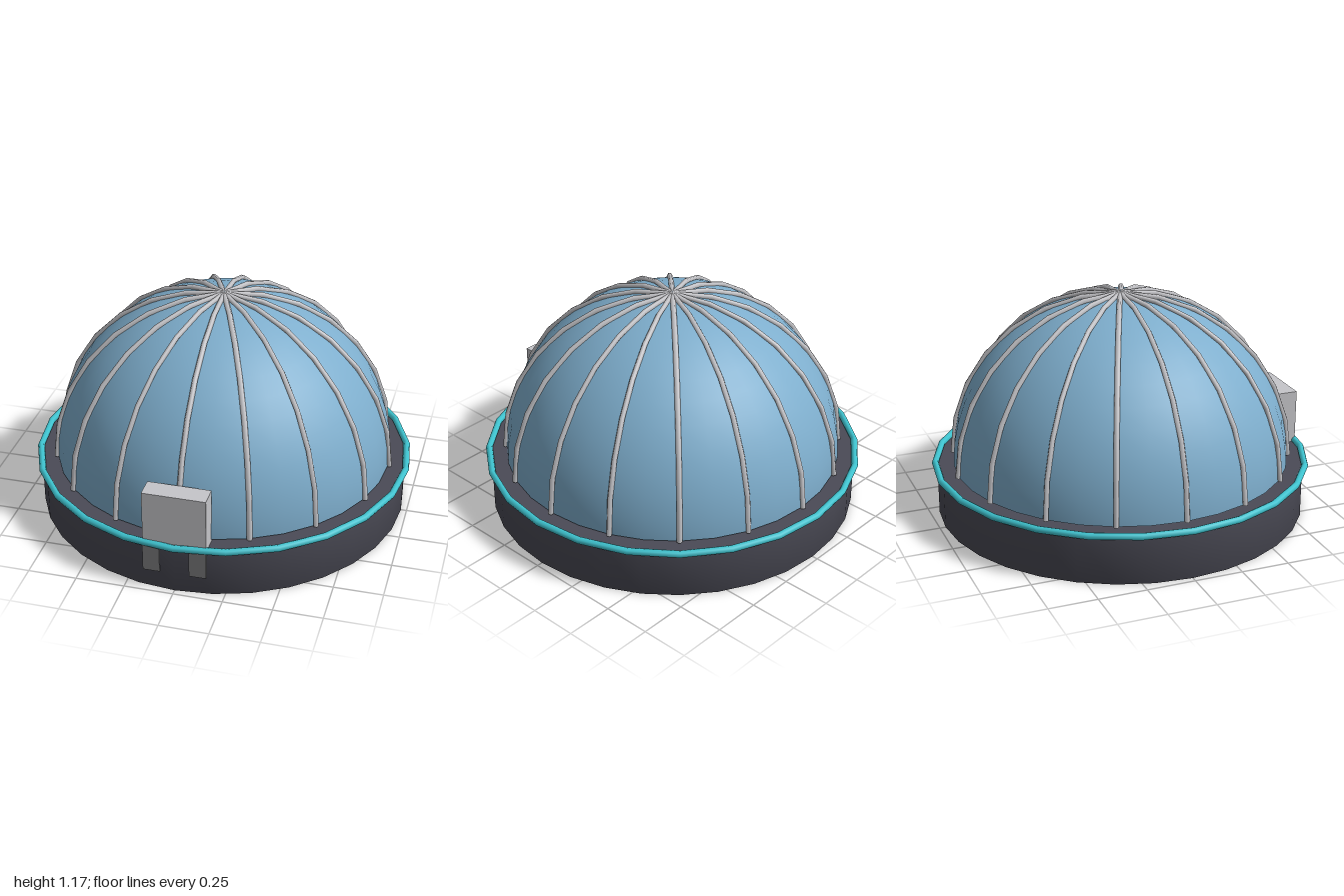
import * as THREE from 'three';

const mat = (name, color, side = THREE.FrontSide) => {
  const m = new THREE.MeshStandardMaterial({ color, side });
  m.name = name;
  return m;
};

export function createModel() {
  const model = new THREE.Group();
  model.name = 'ribbedDome';
  const charcoal = mat('charcoal', 0x4b4b56);
  const blue = mat('dome blue', 0x7eaecd);
  const silver = mat('silver', 0xc6c6ca);
  const steel = mat('steel grey', 0x7c7c7e);
  const teal = mat('teal', 0x3fc4d0);

  const add = (name, geometry, material, x = 0, y = 0, z = 0, parent = model) => {
    const mesh = new THREE.Mesh(geometry, material);
    mesh.name = name;
    mesh.position.set(x, y, z);
    parent.add(mesh);
    return mesh;
  };

  // Drum base: softened lower edge, flat deck on top
  const drum = [[0, 0], [0.9, 0], [0.97, 0], [0.97, 0.25]].map(p => new THREE.Vector2(...p));
  add('base', new THREE.LatheGeometry(drum, 32), charcoal);
  add('baseDeck', new THREE.CircleGeometry(0.97, 32), charcoal, 0, 0.25, 0).rotation.x = -Math.PI / 2;

  // Half-sphere dome
  const R = 0.885, domeY = 0.265;
  add('dome', new THREE.SphereGeometry(R, 32, 12, 0, Math.PI * 2, 0, Math.PI / 2), blue, 0, domeY, 0);

  // Sixteen meridian ribs meeting at the crown
  const ribs = new THREE.Group();
  ribs.name = 'ribs';
  model.add(ribs);
  const arc = new THREE.CurvePath();
  const steps = 7, ribR = 0.893;
  const pts = Array.from({ length: steps + 1 }, (_, i) => {
    const a = (i / steps) * Math.PI / 2;
    return new THREE.Vector3(ribR * Math.cos(a), ribR * Math.sin(a), 0);
  });
  for (let i = 0; i < steps; i++) arc.add(new THREE.LineCurve3(pts[i], pts[i + 1]));
  const ribGeometry = new THREE.TubeGeometry(arc, steps, 0.014, 6);
  for (let i = 0; i < 16; i++) {
    add('rib', ribGeometry, silver, 0, domeY, 0, ribs).rotation.y = i * Math.PI / 8;
  }

  // Trim ring around the upper edge of the base
  add('trimRing', new THREE.TorusGeometry(0.98, 0.018, 8, 24), teal, 0, 0.258, 0).rotation.x = -Math.PI / 2;

  // Front control box with two short mounting legs
  add('controlBox', new THREE.BoxGeometry(0.32, 0.3, 0.105), silver, 0, 0.39, 0.908);
  for (const s of [-1, 1]) {
    add('boxLeg', new THREE.BoxGeometry(0.085, 0.15, 0.05), steel, s * 0.117, 0.175, 0.945);
  }
  return model;
}
